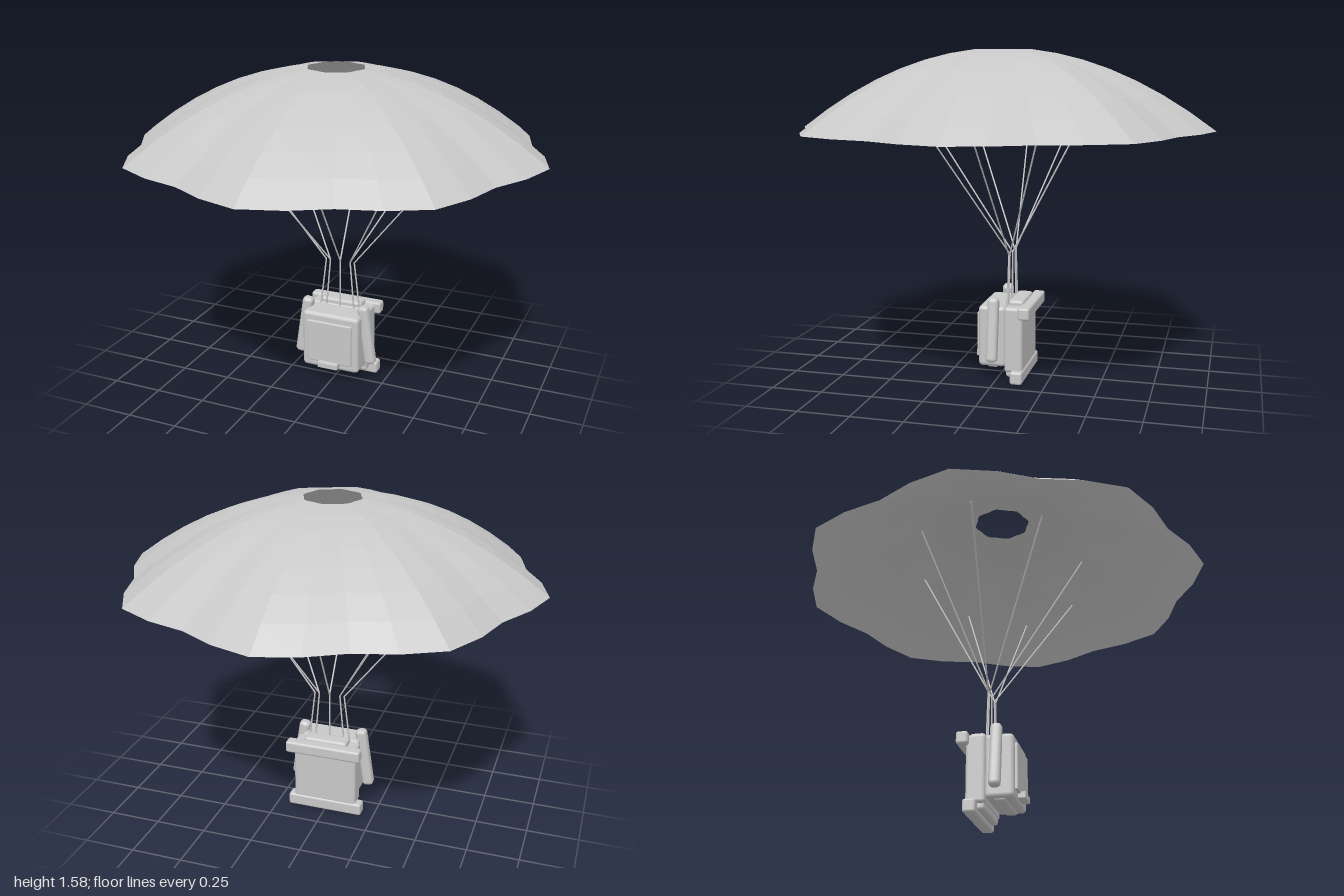
import * as THREE from 'three';
import { RoundedBoxGeometry } from 'three/addons/geometries/RoundedBoxGeometry.js';

const GORES = 8, STEPS = 4, RINGS = 7;

// One fabric panel between two ribs, pinched inward along its middle
function goreGeometry(index) {
  const pos = [], idx = [];
  for (let i = 0; i <= RINGS; i++) {
    const rib = 0.14 + 0.86 * i / RINGS;
    const y = 1.592 - 0.377 * rib * rib;
    for (let j = 0; j <= STEPS; j++) {
      const t = j / STEPS;
      const a = (index + t) * Math.PI * 2 / GORES;
      const r = rib * (1 - 0.08 * Math.sin(Math.PI * t) ** 2);
      pos.push(r * Math.cos(a), y, r * Math.sin(a));
    }
  }
  const row = STEPS + 1;
  for (let i = 0; i < RINGS; i++) {
    for (let j = 0; j < STEPS; j++) {
      const a = i * row + j, b = a + 1, c = a + row, d = c + 1;
      idx.push(a, b, c, b, d, c);
    }
  }
  const g = new THREE.BufferGeometry();
  g.setAttribute('position', new THREE.Float32BufferAttribute(pos, 3));
  g.setIndex(idx);
  g.computeVertexNormals();
  return g;
}

export function createModel() {
  const model = new THREE.Group();
  model.name = 'parachute';

  const grey = new THREE.MeshStandardMaterial({ color: 0xc8c8c8 });
  grey.name = 'light grey';
  const fabric = new THREE.MeshStandardMaterial({ color: 0xc8c8c8, flatShading: true, side: THREE.DoubleSide });
  fabric.name = 'canopy grey';

  // Canopy with an open vent at the top
  const canopy = new THREE.Group();
  canopy.name = 'canopy';
  for (let i = 0; i < GORES; i++) {
    const gore = new THREE.Mesh(goreGeometry(i), fabric);
    gore.name = 'canopyPanel';
    canopy.add(gore);
  }
  model.add(canopy);

  // Suspension cords: spread to the canopy, then drop to the pack
  const cords = new THREE.Group();
  cords.name = 'cords';
  const cordPiece = (a, b) => {
    const mesh = new THREE.Mesh(new THREE.CylinderGeometry(0.004, 0.004, a.distanceTo(b), 6), grey);
    mesh.position.copy(a).lerp(b, 0.5);
    mesh.quaternion.setFromUnitVectors(new THREE.Vector3(0, 1, 0), b.clone().sub(a).normalize());
    mesh.name = 'cord';
    cords.add(mesh);
  };
  for (let i = 0; i < GORES; i++) {
    const a = i * Math.PI * 2 / GORES, c = Math.cos(a), s = Math.sin(a);
    const knot = new THREE.Vector3(0.075 * c, 0.61, -0.05);
    cordPiece(knot, new THREE.Vector3(0.63 * c, 1.305, 0.41 * s));
    cordPiece(new THREE.Vector3(0.105 * c, 0.36, -0.05), knot);
  }
  model.add(cords);

  // Backpack made of rounded blocks, given by their extents
  const pack = new THREE.Group();
  pack.name = 'backpack';
  const block = (name, [x0, x1], [y0, y1], [z0, z1], radius) => {
    const mesh = new THREE.Mesh(new RoundedBoxGeometry(x1 - x0, y1 - y0, z1 - z0, 2, radius), grey);
    mesh.position.set((x0 + x1) / 2, (y0 + y1) / 2, (z0 + z1) / 2);
    mesh.name = name;
    pack.add(mesh);
    return mesh;
  };
  block('mainBody', [-0.15, 0.15], [0.07, 0.37], [-0.05, 0.085], 0.02);
  block('backPanel', [-0.16, 0.16], [0.05, 0.37], [-0.135, -0.045], 0.015);
  block('topRoll', [-0.11, 0.11], [0.34, 0.395], [-0.13, -0.055], 0.015);
  block('bottomRoll', [-0.145, 0.145], [0.02, 0.085], [-0.11, -0.05], 0.015);
  block('bottomLip', [-0.13, 0.13], [0.06, 0.1], [-0.01, 0.045], 0.012);
  block('frontPocket', [-0.118, 0.118], [0.11, 0.33], [0.07, 0.098], 0.006);
  block('pocketTab', [-0.053, 0.053], [0.088, 0.12], [0.08, 0.12], 0.005);
  block('upperBar', [-0.19, 0.19], [0.32, 0.38], [-0.175, -0.118], 0.012);
  block('lowerBar', [-0.19, 0.19], [0, 0.063], [-0.14, -0.08], 0.012);

  // Slanted rolls on both sides
  for (const side of [-1, 1]) {
    const roll = block('sideRoll', [-0.028, 0.028], [0.105, 0.415], [-0.02, 0.034], 0.02);
    roll.position.x = side * 0.168;
    roll.rotation.z = side * 0.145;
  }
  model.add(pack);

  return model;
}
